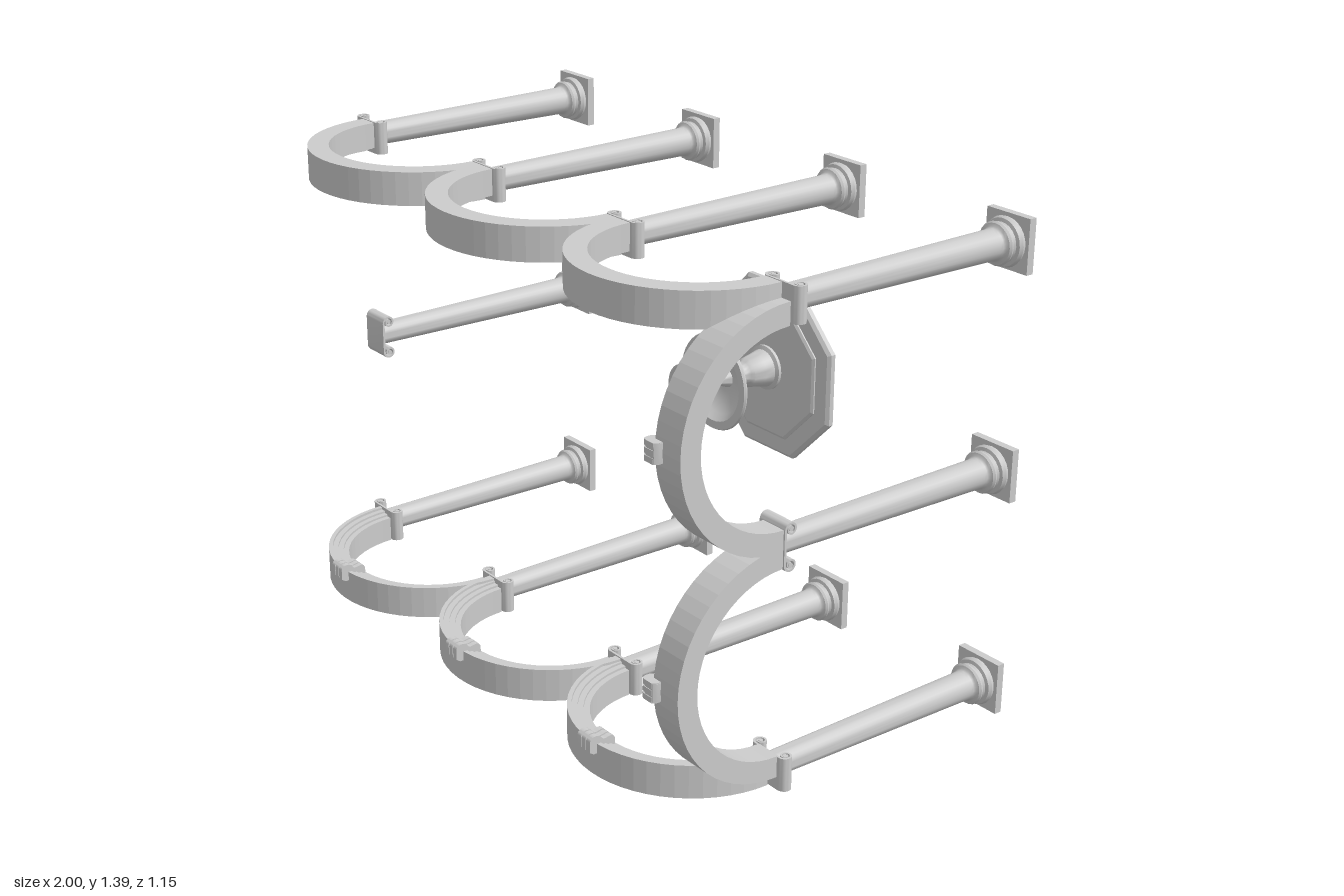
import * as THREE from 'three';
import { toCreasedNormals } from 'three/addons/utils/BufferGeometryUtils.js';

const smooth = new THREE.MeshStandardMaterial({ color: 0xcccccc });
const faceted = new THREE.MeshStandardMaterial({ color: 0xcccccc, flatShading: true });
const DEPTH = 0.094;     // thickness of arches and capitals
const SPRING = 0.233;    // height where arches spring from the capitals
const ROW = 0.623;       // distance of the long rows from the centre line

function add(parent, name, geometry, x = 0, y = 0, z = 0, material = smooth) {
  const mesh = new THREE.Mesh(geometry, material);
  mesh.name = name;
  mesh.position.set(x, y, z);
  parent.add(mesh);
  return mesh;
}
const points = (list) => list.map(([x, y]) => new THREE.Vector2(x, y));
const turned = (list, sides = 32) =>
  toCreasedNormals(new THREE.LatheGeometry(points(list), sides), 0.6);

// Scroll band of the capital: a flat top curling into a spiral on each side
function scrollGeometry() {
  const outer = [], inner = [], n = 36;
  for (let i = 0; i <= n; i++) {
    const t = i / n, a = Math.PI / 2 - t * 3 * Math.PI;
    const r = 0.018 - 0.013 * t, half = 0.0032 - 0.0012 * t;
    const at = (q) => [0.047 + q * Math.cos(a), 0.208 + q * Math.sin(a)];
    outer.push(at(r + half));
    inner.push(at(r - half));
  }
  const flip = (list) => list.map(([x, y]) => [-x, y]);
  const outline = [...outer, ...[...inner].reverse(), ...flip(inner), ...flip(outer).reverse()];
  const g = new THREE.ExtrudeGeometry(new THREE.Shape(points(outline)),
    { depth: DEPTH, bevelEnabled: false });
  g.translate(0, 0, -DEPTH / 2);
  return toCreasedNormals(g, 0.6);
}

const shaftGeometry = turned([
  [0.063, -0.522], [0.067, -0.512], [0.063, -0.502], [0.054, -0.499], [0.051, -0.492],
  [0.056, -0.488], [0.058, -0.482], [0.054, -0.476], [0.046, -0.473], [0.042, -0.468],
  [0.041, -0.46], [0.034, 0.2], [0.034, 0.228],
], 24);
const plinthGeometry = new THREE.BoxGeometry(0.147, 0.022, 0.147);
const capitalGeometry = scrollGeometry();
const eyeGeometry = new THREE.CylinderGeometry(0.0055, 0.0055, DEPTH, 12).rotateX(Math.PI / 2);

function column(parent, x, z, turn) {
  const g = new THREE.Group();
  g.name = 'column';
  g.position.set(x, 0, z);
  g.rotation.y = turn;
  add(g, 'plinth', plinthGeometry, 0, -0.533, 0);
  add(g, 'shaft', shaftGeometry);
  add(g, 'scrollCapital', capitalGeometry);
  for (const s of [-1, 1]) add(g, 'scrollEye', eyeGeometry, s * 0.047, 0.208, 0);
  parent.add(g);
}

// Arch section (radius, depth): plain outer face, stepped moulding on the inner face
const h = DEPTH / 2;
const section = [
  [0.26, -h], [0.32, -h], [0.32, h], [0.308, h], [0.308, h - 0.007], [0.292, h - 0.007],
  [0.292, h - 0.013], [0.276, h - 0.013], [0.276, h - 0.019], [0.26, h - 0.019], [0.26, -h],
];
const archGeometry = new THREE.LatheGeometry(points(section), 28, Math.PI / 2, Math.PI)
  .rotateX(Math.PI / 2);
const footGeometries = [1, -1].map((s) => new THREE.ShapeGeometry(
  new THREE.Shape(points(section.slice(0, -1).map(([r, d]) => [s * r, d])))).rotateX(Math.PI / 2));

// Scrolled side profile of a keystone rib, swept across its width
function keystoneRib(width) {
  const s = new THREE.Shape();
  s.moveTo(0.02, 0.262);
  s.lineTo(0.045, 0.262);
  s.quadraticCurveTo(0.062, 0.266, 0.056, 0.285);
  s.quadraticCurveTo(0.052, 0.3, 0.062, 0.305);
  s.bezierCurveTo(0.074, 0.31, 0.074, 0.341, 0.058, 0.341);
  s.lineTo(0.028, 0.341);
  s.lineTo(0.02, 0.33);
  const g = new THREE.ExtrudeGeometry(s, { depth: width, bevelEnabled: false, curveSegments: 6 });
  g.translate(0, 0, -width / 2).rotateY(-Math.PI / 2);
  return toCreasedNormals(g, 0.7);
}
const ribGeometry = keystoneRib(0.015);
const coreGeometry = keystoneRib(0.05).scale(1, 0.995, 0.93);

function arch(parent, x, z, turn, hasKeystone) {
  const g = new THREE.Group();
  g.name = 'arch';
  g.position.set(x, SPRING, z);
  g.rotation.y = turn;
  add(g, 'archRing', archGeometry, 0, 0, 0, faceted);
  for (const foot of footGeometries) add(g, 'archFoot', foot);
  if (hasKeystone) {
    add(g, 'keystoneCore', coreGeometry);
    for (const i of [-1, 0, 1]) add(g, 'keystoneRib', ribGeometry, i * 0.0195, 0, 0);
  }
  parent.add(g);
}

// Eight-sided slab with softened edges, sized by the distance to its flat sides
function octagon(list) {
  const k = 1 / Math.cos(Math.PI / 8);
  return new THREE.LatheGeometry(points(list.map(([r, y]) => [r * k, y])), 8, Math.PI / 8);
}

function fountain(parent) {
  const g = new THREE.Group();
  g.name = 'fountain';
  add(g, 'basinSlab', octagon([
    [0, -0.578], [0.25, -0.578], [0.26, -0.572], [0.26, -0.558], [0.25, -0.55], [0, -0.55],
  ]), 0, 0, 0, faceted);
  add(g, 'basinStep', octagon([
    [0.204, -0.552], [0.204, -0.546], [0.196, -0.541], [0, -0.541],
  ]), 0, 0, 0, faceted);
  add(g, 'pedestal', turned([
    [0.067, -0.545], [0.067, -0.532], [0.056, -0.527], [0.05, -0.5], [0.043, -0.463],
    [0.036, -0.455], [0.031, -0.443], [0.032, -0.428], [0.04, -0.418], [0.05, -0.405],
  ]));
  add(g, 'largeBowl', turned([
    [0, -0.41], [0.055, -0.408], [0.075, -0.4], [0.1, -0.382], [0.122, -0.358], [0.128, -0.352],
    [0.142, -0.35], [0.145, -0.344], [0.142, -0.338], [0.118, -0.338], [0.1, -0.36],
    [0.075, -0.38], [0.04, -0.39], [0, -0.392],
  ], 40));
  add(g, 'baluster', turned([
    [0.028, -0.392], [0.022, -0.375], [0.012, -0.352], [0.012, -0.342], [0.02, -0.325],
    [0.024, -0.308], [0.019, -0.285], [0.012, -0.268], [0.014, -0.256], [0.022, -0.25],
  ], 24));
  add(g, 'smallBowl', turned([
    [0, -0.254], [0.03, -0.252], [0.055, -0.246], [0.073, -0.24], [0.075, -0.236],
    [0.07, -0.234], [0.045, -0.24], [0.012, -0.242], [0, -0.242],
  ]));
  add(g, 'finial', turned([
    [0.012, -0.244], [0.009, -0.23], [0.012, -0.218], [0.008, -0.195], [0.004, -0.17], [0, -0.16],
  ], 16));
  parent.add(g);
}

export function createModel() {
  const model = new THREE.Group();
  model.name = 'courtyardArcade';
  const court = new THREE.Group();
  court.name = 'courtyard';

  // Two long rows, moulded faces turned towards the fountain
  for (const side of [-1, 1]) {
    for (const x of [-0.925, -0.31, 0.31, 0.925]) column(court, x, side * ROW, 0);
    for (const x of [-0.617, 0, 0.617]) {
      arch(court, x, side * ROW, side > 0 ? Math.PI : 0, side > 0);
    }
    // Short row on one end
    arch(court, 0.9225, side * ROW / 2, -Math.PI / 2, true);
  }
  // Middle columns of the two ends; one stands free
  for (const x of [-0.927, 0.9225]) column(court, x, 0, Math.PI / 2);
  fountain(court);

  // The courtyard lies on its side, columns pointing to the front
  court.rotation.x = Math.PI / 2;
  court.position.y = 0.699;
  model.add(court);
  return model;
}
